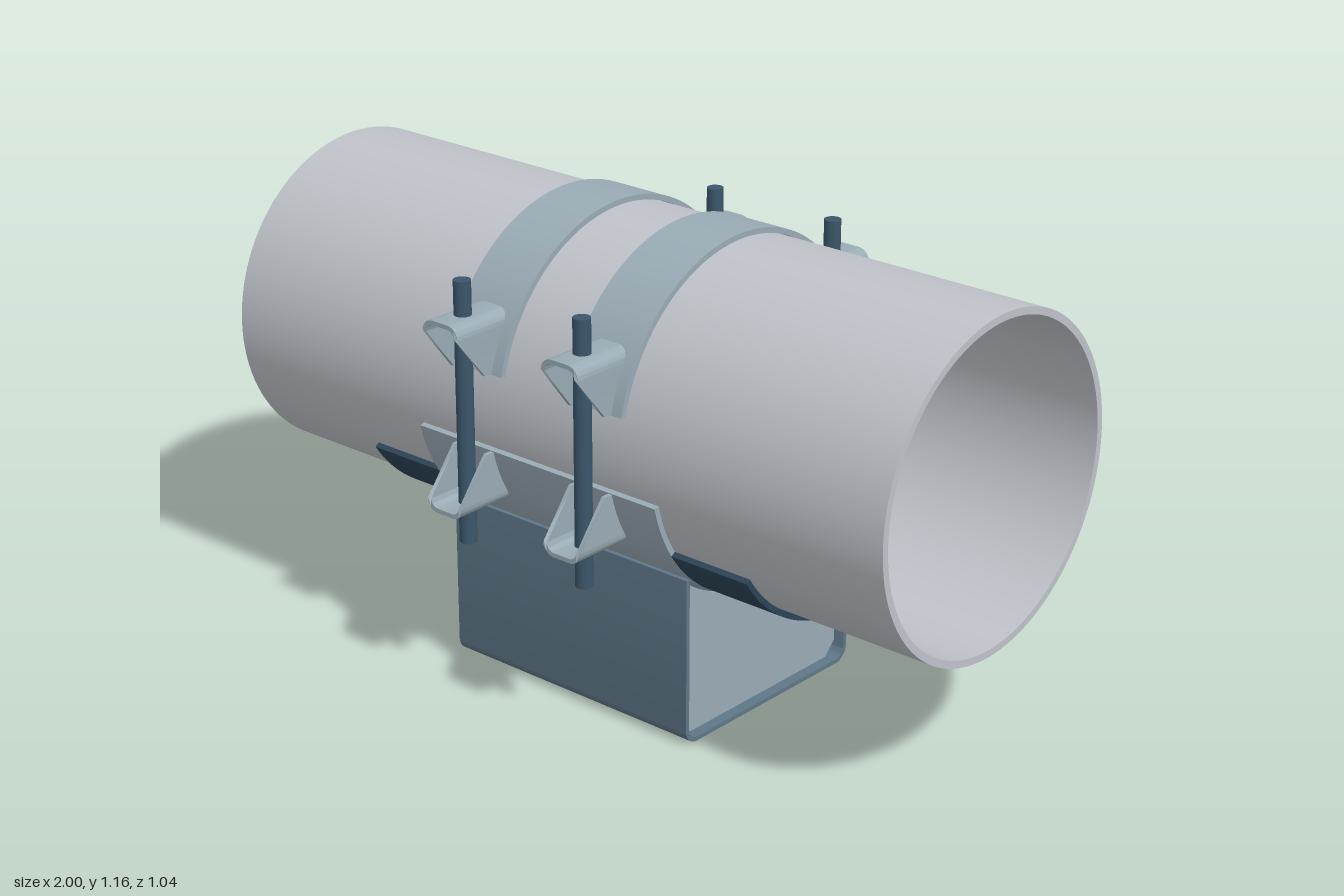
import * as THREE from 'three';
import { toCreasedNormals } from 'three/addons/utils/BufferGeometryUtils.js';

const AXIS_Y = 0.74, PIPE_R = 0.41, CLAMP_R = 0.425;
const rad = THREE.MathUtils.degToRad;

const mat = (color) => new THREE.MeshStandardMaterial({ color });

export function createModel() {
  const model = new THREE.Group();
  const pipeMat = mat(0xbfc3c9), steelMat = mat(0x9aabb5), boxMat = mat(0x5f7788);
  const rodMat = mat(0x3b566a), padMat = mat(0x2c4456);

  function add(name, geometry, material, parent = model) {
    const mesh = new THREE.Mesh(geometry, material);
    mesh.name = name;
    parent.add(mesh);
    return mesh;
  }

  // Extrudes a side profile (z, y) along x between x0 and x1
  function alongX(shape, x0, x1) {
    const g = new THREE.ExtrudeGeometry(shape, { depth: x1 - x0, bevelEnabled: false, curveSegments: 64 });
    g.rotateY(Math.PI / 2).translate(x0, 0, 0);
    return toCreasedNormals(g, rad(30));
  }

  // Curved plate wrapped around the pipe, angles in degrees
  function arcPlate(r0, r1, a0, a1) {
    const s = new THREE.Shape();
    s.absarc(0, AXIS_Y, r1, rad(a0), rad(a1), false);
    s.absarc(0, AXIS_Y, r0, rad(a1), rad(a0), true);
    s.closePath();
    return s;
  }

  // Pipe
  const ring = new THREE.Shape().absarc(0, AXIS_Y, PIPE_R, 0, Math.PI * 2, false);
  ring.holes.push(new THREE.Path().absarc(0, AXIS_Y, 0.392, 0, Math.PI * 2, true));
  add('pipe', alongX(ring, -1, 1), pipeMat);

  // Saddle cradling the lower half of the pipe
  add('saddle', alongX(arcPlate(0.411, CLAMP_R, 193, 347), -0.37, 0.37), steelMat);

  // Split pads reaching out past both ends of the saddle
  for (const [x0, x1] of [[-0.59, -0.37], [0.37, 0.59]]) {
    add('padFront', alongX(arcPlate(0.411, CLAMP_R, 213, 268), x0, x1), padMat);
    add('padBack', alongX(arcPlate(0.411, CLAMP_R, 272, 327), x0, x1), padMat);
  }

  // U-shaped base channel with rounded lower corners
  const W = 0.303, T = 0.011, C = 0.04, H = 0.427;
  const channel = new THREE.Shape();
  channel.moveTo(-W, H);
  channel.lineTo(-W, C);
  channel.absarc(-W + C, C, C, Math.PI, Math.PI * 1.5, false);
  channel.absarc(W - C, C, C, Math.PI * 1.5, Math.PI * 2, false);
  channel.lineTo(W, H);
  channel.lineTo(W - T, H);
  channel.absarc(W - C, C, C - T, 0, -Math.PI / 2, true);
  channel.absarc(-W + C, C, C - T, -Math.PI / 2, -Math.PI, true);
  channel.lineTo(-W + T, H);
  channel.closePath();
  add('baseChannel', alongX(channel, -0.37, 0.37), boxMat);

  // End plates with chamfered corners and a curved top
  const P = 0.29, R = 0.433, a = Math.acos(P / R);
  const plate = new THREE.Shape();
  plate.moveTo(-P, 0.046);
  plate.lineTo(-P + 0.034, T);
  plate.lineTo(P - 0.034, T);
  plate.lineTo(P, 0.046);
  plate.absarc(0, AXIS_Y, R, -a, -Math.PI + a, true);
  plate.closePath();
  add('endPlateLeft', alongX(plate, 0.33, 0.342), steelMat);
  add('endPlateRight', alongX(plate, -0.342, -0.33), steelMat);

  // Folded lug: an arch cross-section whose inner end follows the clamp
  // and whose outer end tapers; y is measured from the pipe axis
  function lugGeometry() {
    const w = 0.056, t = 0.011, c = 0.032, top = 0.24, low = 0.098, knee = 0.21;
    const s = new THREE.Shape();
    const steps = [0, 0.2, 0.4, 0.6, 0.8, 1].map((k) => low + (knee - 0.005 - low) * k);
    s.moveTo(w, low);
    steps.slice(1).forEach((y) => s.lineTo(w, y));
    s.absarc(w - c, top - c, c, 0, Math.PI / 2, false);
    s.absarc(-w + c, top - c, c, Math.PI / 2, Math.PI, false);
    [...steps].reverse().forEach((y) => s.lineTo(-w, y));
    steps.forEach((y) => s.lineTo(-w + t, y));
    s.absarc(-w + c, top - c, c - t, Math.PI, Math.PI / 2, true);
    s.absarc(w - c, top - c, c - t, Math.PI / 2, 0, true);
    [...steps].reverse().forEach((y) => s.lineTo(w - t, y));
    s.closePath();
    const g = new THREE.ExtrudeGeometry(s, { depth: 1, bevelEnabled: false, curveSegments: 8 });
    const p = g.attributes.position;
    for (let i = 0; i < p.count; i++) {
      const y = p.getY(i);
      const inner = Math.sqrt(0.424 ** 2 - y * y);
      const outer = THREE.MathUtils.lerp(0.435, 0.522, Math.min(1, (y - low) / (knee - low)));
      p.setZ(i, THREE.MathUtils.lerp(inner, outer, p.getZ(i)));
    }
    return toCreasedNormals(g, rad(30));
  }

  // Two clamps, each with a top strap, two rods and four lugs
  const lug = lugGeometry();
  const rod = new THREE.CylinderGeometry(0.021, 0.021, 0.655, 24);
  for (const x of [-0.185, 0.185]) {
    const clamp = new THREE.Group();
    clamp.name = x > 0 ? 'clampLeft' : 'clampRight';
    model.add(clamp);
    add('strap', alongX(arcPlate(0.411, CLAMP_R, 13, 167), x - 0.086, x + 0.086), steelMat, clamp);
    for (const side of [1, -1]) {
      add('threadedRod', rod, rodMat, clamp).position.set(x, 0.7375, side * 0.447);
      for (const up of [1, -1]) {
        const m = add(up > 0 ? 'upperLug' : 'lowerLug', lug, steelMat, clamp);
        m.position.set(x, AXIS_Y, 0);
        m.scale.set(1, up, side);
      }
    }
  }
  return model;
}
